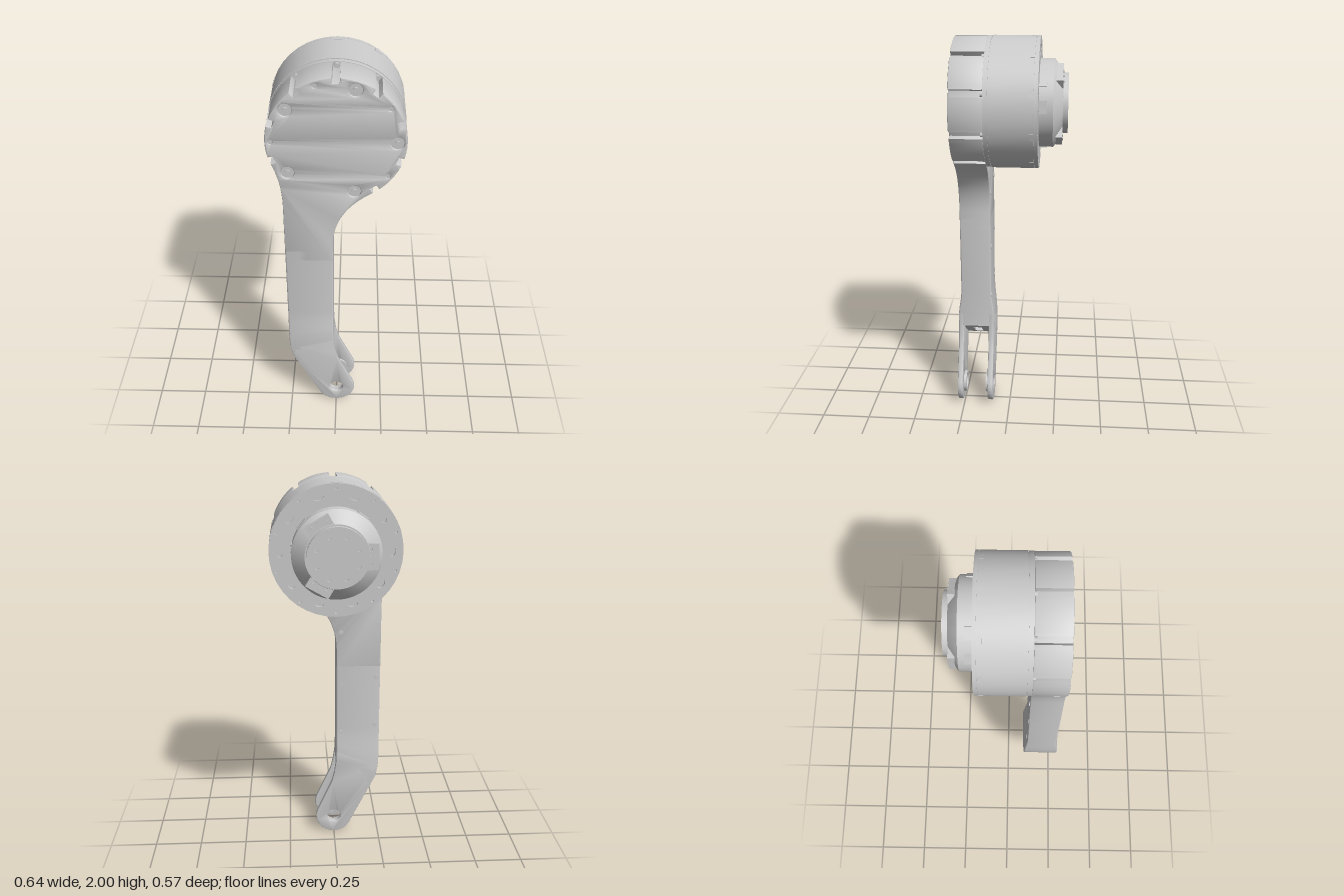
import * as THREE from 'three';
import { toCreasedNormals } from 'three/addons/utils/BufferGeometryUtils.js';

const CY = 1.682, R = 0.318, PIN_Y = 0.1, RAD = Math.PI / 180;
const mat = new THREE.MeshStandardMaterial({ color: 0xcccccc });
const matDouble = new THREE.MeshStandardMaterial({ color: 0xcccccc, side: THREE.DoubleSide });
const polar = (deg, r, cy = CY) => [r * Math.cos(deg * RAD), cy + r * Math.sin(deg * RAD)];

export function createModel() {
  const model = new THREE.Group();

  const add = (name, geometry, material = mat) => {
    const mesh = new THREE.Mesh(geometry, material);
    mesh.name = name;
    model.add(mesh);
    return mesh;
  };

  // Extrude a front-view shape between two depths, with edges eased inwards
  const slab = (shape, z0, z1, bevel = 0) => {
    const g = new THREE.ExtrudeGeometry(shape, {
      depth: z1 - z0 - 2 * bevel, curveSegments: 20, bevelEnabled: bevel > 0,
      bevelThickness: bevel, bevelSize: bevel, bevelOffset: -bevel, bevelSegments: 2,
    });
    return toCreasedNormals(g.translate(0, 0, z0 + bevel), 0.6);
  };
  const circle = (x, y, r) => new THREE.Path().absarc(x, y, r, 0, Math.PI * 2, true);
  const disc = (x, y, r) => new THREE.Shape().absarc(x, y, r, 0, Math.PI * 2, false);

  // Cylinder along z
  const pin = (name, x, y, r, z0, z1) => {
    const g = new THREE.CylinderGeometry(r, r, z1 - z0, 20).rotateX(Math.PI / 2);
    add(name, toCreasedNormals(g, 0.6)).position.set(x, y, (z0 + z1) / 2);
  };

  // Box set at a polar position around the joint axis
  const radialBox = (name, deg, r0, r1, width, z0, z1) => {
    const box = add(name, new THREE.BoxGeometry(r1 - r0, width, z1 - z0));
    box.position.set(...polar(deg, (r0 + r1) / 2), (z0 + z1) / 2);
    box.rotation.z = deg * RAD;
  };

  // Notched round housing running into the top of the arm
  const housing = new THREE.Shape();
  const notches = [-54, -18, 18, 54, 90, 126, 162, 198];
  housing.moveTo(-0.25, 1.0);
  housing.lineTo(-0.015, 1.0);
  housing.lineTo(-0.015, 1.1);
  housing.quadraticCurveTo(-0.015, 1.3, ...polar(-59, R));
  for (const a of notches) {
    for (const [d, r] of [[-3.2, R], [-3.2, 0.292], [3.2, 0.292], [3.2, R]]) housing.lineTo(...polar(a + d, r));
    const stop = a === 198 ? 203 : a + 32;
    for (let d = a + 6; d <= stop; d += 3) housing.lineTo(...polar(d, R));
  }
  housing.lineTo(...polar(203, R));
  housing.quadraticCurveTo(-0.25, 1.458, -0.25, 1.33);

  // Counterbored cover screws
  for (let a = 0; a < 360; a += 72) {
    const [x, y] = polar(a, 0.274);
    housing.holes.push(circle(x, y, 0.031));
    pin('coverScrewSeat', x, y, 0.035, 0.106, 0.256);
    pin('coverScrew', x, y, 0.012, 0.25, 0.262);
  }
  for (const a of [-36, 36, 108, 180]) {
    const [x, y] = polar(a, 0.294);
    housing.holes.push(circle(x, y, 0.011));
    pin('smallCoverScrew', x, y, 0.014, 0.106, 0.26);
  }
  for (const a of notches) pin('notchScrew', ...polar(a, 0.302), 0.012, 0.1, 0.118);
  add('housing', slab(housing, 0.105, 0.266, 0.006));

  // Arm: rounded rectangular sections [leftX, leftY, rightX, rightY, frontZ, backZ]
  const stations = [
    [-0.25, 1.06, -0.015, 1.06, 0.266, 0.105],
    [-0.25, 0.65, -0.015, 0.65, 0.266, 0.105],
    [-0.25, 0.58, -0.015, 0.6, 0.269, 0.102],
    [-0.25, 0.5, -0.015, 0.55, 0.278, 0.095],
    [-0.247, 0.42, -0.015, 0.51, 0.283, 0.09],
    [-0.235, 0.35, -0.014, 0.47, 0.283, 0.09],
    [-0.21, 0.3, -0.012, 0.44, 0.283, 0.09],
  ];
  const pos = [], idx = [], c = 0.007, n = 16;
  stations.forEach(([lx, ly, rx, ry, zf, zb], k) => {
    const len = Math.hypot(rx - lx, ry - ly);
    for (let q = 0; q < 4; q++) for (let j = 0; j < 4; j++) {
      const t = (q + j / 3) * Math.PI / 2;
      const s = (q === 0 || q === 3 ? len - c : c) + c * Math.cos(t);
      pos.push(lx + (rx - lx) * s / len, ly + (ry - ly) * s / len, (q < 2 ? zf - c : zb + c) + c * Math.sin(t));
    }
    if (k === 0) return;
    for (let i = 0; i < n; i++) {
      const a = (k - 1) * n + i, b = (k - 1) * n + (i + 1) % n;
      idx.push(a, b, a + n, b, b + n, a + n);
    }
  });
  const arm = new THREE.BufferGeometry();
  arm.setAttribute('position', new THREE.Float32BufferAttribute(pos, 3));
  arm.setIndex(idx);
  add('arm', toCreasedNormals(arm, 0.6), matDouble);

  // Sloping wall at the head of the fork slot, with a small window
  const u = new THREE.Vector3(0.198, 0.14, 0).normalize(), v = new THREE.Vector3(0, 0, 1);
  const w = new THREE.Vector3().crossVectors(u, v);
  const rect = (Type, u0, u1, z0, z1) =>
    new Type([[u0, z0], [u1, z0], [u1, z1], [u0, z1]].map((p) => new THREE.Vector2(...p)));
  [[0.02, 0.02, true], [0.028, 0.008, false]].forEach(([back, depth, open]) => {
    const wall = rect(THREE.Shape, 0.01, 0.239, 0.095, 0.278);
    if (open) wall.holes.push(rect(THREE.Path, 0.04, 0.175, 0.165, 0.21));
    const g = new THREE.ExtrudeGeometry(wall, { depth, bevelEnabled: false });
    const origin = new THREE.Vector3(-0.21, 0.3, 0).addScaledVector(w, -back);
    g.applyMatrix4(new THREE.Matrix4().makeBasis(u, v, w).setPosition(origin));
    add('slotWall', g);
  });

  // Fork cheeks with bored eyes and inner bosses
  const cheek = new THREE.Shape();
  cheek.moveTo(-0.247, 0.42);
  cheek.lineTo(-0.235, 0.35);
  cheek.lineTo(-0.21, 0.3);
  cheek.absarc(0, PIN_Y, 0.1, 207 * RAD, 385 * RAD, false);
  for (const p of [[0.01, 0.32], [-0.004, 0.38], [-0.012, 0.44], [-0.015, 0.51]]) cheek.lineTo(...p);
  cheek.holes.push(circle(0, PIN_Y, 0.037));
  const boss = disc(0, PIN_Y, 0.057);
  boss.holes.push(circle(0, PIN_Y, 0.041));
  add('frontCheek', slab(cheek, 0.255, 0.283, 0.006));
  add('backCheek', slab(cheek, 0.09, 0.12, 0.006));
  add('frontBoss', slab(boss, 0.24, 0.26));
  add('backBoss', slab(boss, 0.115, 0.133));

  // Screws along the back of the arm
  for (const y of [1.3, 1.0, 0.72]) {
    pin('armScrew', -0.225, y - 0.06, 0.012, 0.102, 0.11);
    pin('armScrew', -0.04, y - 0.1, 0.012, 0.102, 0.11);
  }

  // Motor body, hub and cone turned about the joint axis: [radius, distance backwards]
  const turned = (name, profile) => {
    const g = new THREE.LatheGeometry(profile.map((p) => new THREE.Vector2(...p)), 72);
    add(name, toCreasedNormals(g.rotateX(-Math.PI / 2), 0.45)).position.y = CY;
  };
  turned('motorBody', [[0, -0.106], [R, -0.106], [R, -0.084], [0.313, -0.084], [0.313, -0.08],
    [0.32, -0.08], [0.32, 0.128], [0.314, 0.128], [0.314, 0.132], [0, 0.132]]);
  turned('hub', [[0.214, 0.13], [0.214, 0.215], [0.21, 0.219], [0.152, 0.26], [0.145, 0.26], [0.145, 0.276], [0, 0.276]]);

  // Rear flange with slotted and round holes
  const flange = disc(0, CY, 0.32);
  flange.holes.push(circle(0, CY, 0.2));
  for (let a = 0; a < 360; a += 36) {
    const [x, y] = polar(a, 0.268);
    flange.holes.push(new THREE.Path().absellipse(x, y, 0.014, 0.024, 0, Math.PI * 2, true, a * RAD));
    flange.holes.push(circle(...polar(a + 18, 0.298), 0.007));
    radialBox('rimTab', a + 18, 0.31, 0.3215, 0.036, -0.128, -0.108);
  }
  add('flange', slab(flange, -0.148, -0.131));

  // Output plate with a ring of bolt holes
  const plate = disc(0, CY, 0.145);
  for (let a = 0; a < 360; a += 45) plate.holes.push(circle(...polar(a + 22.5, 0.105), 0.011));
  add('outputPlate', slab(plate, -0.285, -0.275));

  // Clamp blocks on the cone and pads around the hub
  for (const a of [60, 180, 300]) {
    radialBox('clampBlock', a, 0.13, 0.193, 0.125, -0.259, -0.228);
    for (const d of [-12, 0, 12]) pin('clampScrew', ...polar(a + d, 0.174), 0.009, -0.263, -0.255);
    radialBox('hubPad', a + 65.5, 0.19, 0.2165, 0.06, -0.185, -0.145);
    radialBox('hubPad', a + 100, 0.19, 0.2165, 0.06, -0.185, -0.145);
  }

  return model;
}
